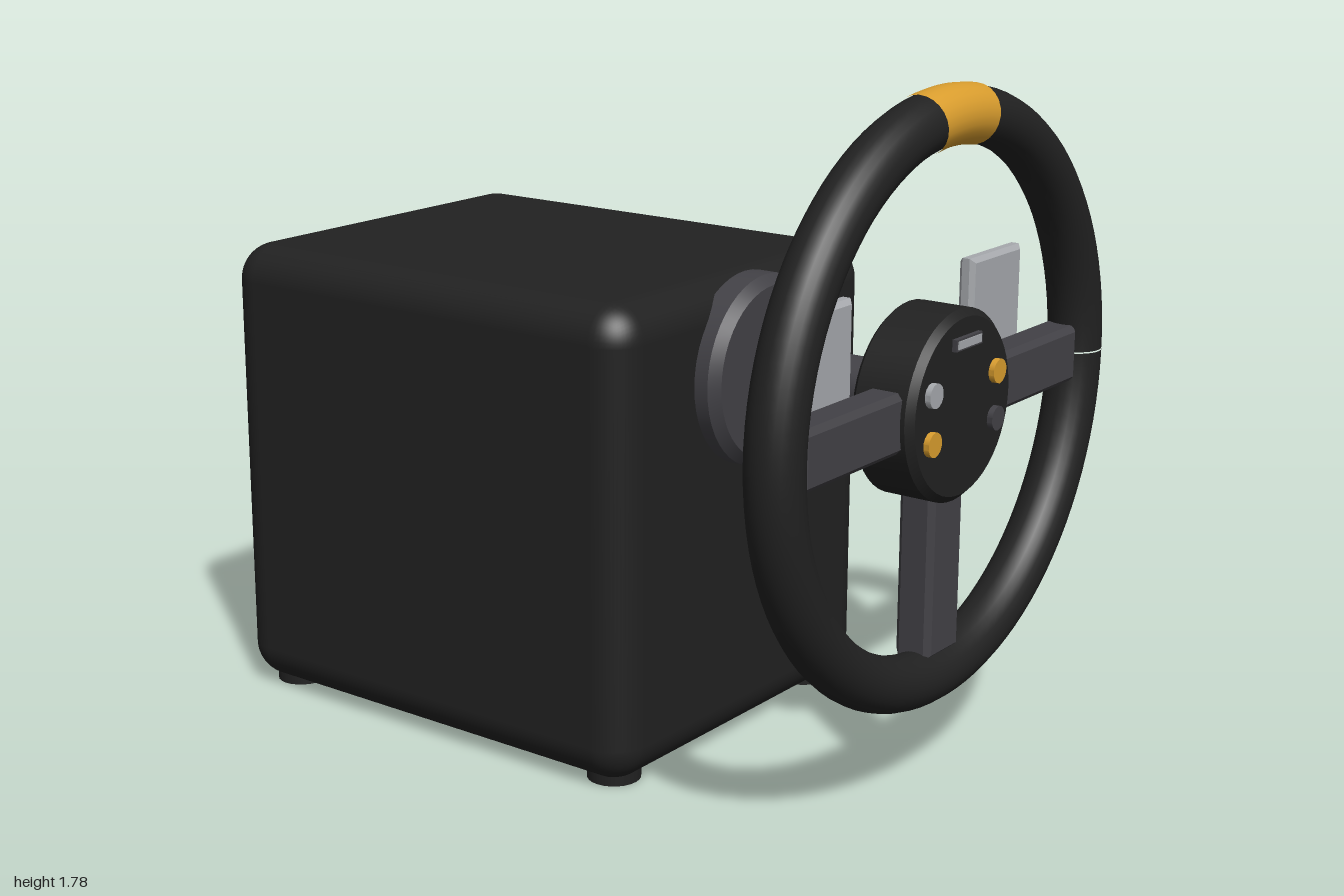
import * as THREE from 'three';
import { toCreasedNormals } from 'three/addons/utils/BufferGeometryUtils.js';
import { RoundedBoxGeometry } from 'three/addons/geometries/RoundedBoxGeometry.js';

function material(name, color) {
  const m = new THREE.MeshStandardMaterial({ color });
  m.name = name;
  return m;
}

export function createModel() {
  const model = new THREE.Group();
  model.name = 'steeringWheelController';

  const black = material('black', 0x212121);
  const charcoal = material('charcoal', 0x424146);
  const silver = material('silver', 0xa6a9ad);
  const amber = material('amber', 0xd99d2e);

  const axisY = 1.01;
  const rimZ = 0.916;

  function add(name, geometry, mat, x, y, z, parent = model) {
    const mesh = new THREE.Mesh(geometry, mat);
    mesh.name = name;
    mesh.position.set(x, y, z);
    parent.add(mesh);
    return mesh;
  }

  // Disc along z, chamfered at the back and front edges
  function disc(radius, z0, z1, back, front, sides = 48) {
    const points = [[0, z0], [radius - back, z0]];
    if (back) points.push([radius, z0 + back]);
    if (front) points.push([radius, z1 - front]);
    points.push([radius - front, z1], [0, z1]);
    const g = new THREE.LatheGeometry(points.map(([r, z]) => new THREE.Vector2(r, z)), sides);
    g.rotateX(Math.PI / 2);
    return toCreasedNormals(g, 0.5);
  }

  // Bar centred on its origin with chamfered edges
  function bevelBar(w, h, d, b) {
    const s = new THREE.Shape();
    const x = w / 2 - b, y = h / 2 - b;
    s.moveTo(-x, -y).lineTo(x, -y).lineTo(x, y).lineTo(-x, y).closePath();
    const g = new THREE.ExtrudeGeometry(s, {
      depth: d - 2 * b, bevelEnabled: true, bevelThickness: b, bevelSize: b, bevelSegments: 1,
    });
    return g.translate(0, 0, -d / 2 + b);
  }

  // Motor housing
  add('housing', new RoundedBoxGeometry(1.1, 1.24, 1.35, 6, 0.1), black, 0, 0.635, -0.31);

  // Feet
  for (const x of [-0.43, 0.43]) {
    for (const z of [-0.87, 0.25]) {
      add('foot', new THREE.CylinderGeometry(0.07, 0.07, 0.06, 24), black, x, 0.03, z);
    }
  }

  // Rear vent ribs
  for (let i = 0; i < 7; i++) {
    add('ventRib', new RoundedBoxGeometry(0.8, 0.036, 0.03, 3, 0.012), black, 0, 0.33 + i * 0.11, -0.985);
  }

  // Collar and steering shaft
  add('collar', disc(0.25, 0.34, 0.43, 0, 0.025), charcoal, 0, axisY, 0);
  add('shaft', disc(0.078, 0.36, 0.86, 0, 0, 32), charcoal, 0, axisY, 0);

  // Wheel: rim, top marker, spokes and hub
  const wheel = new THREE.Group();
  wheel.name = 'wheel';
  wheel.position.set(0, axisY, 0);
  model.add(wheel);

  const gap = 0.006;
  const rim = add('rim', new THREE.TorusGeometry(0.7, 0.071, 24, 96, Math.PI * 2 - gap), black, 0, 0, rimZ, wheel);
  rim.rotation.z = gap / 2;

  const markerArc = 0.345;
  const marker = add('topMarker', new THREE.TorusGeometry(0.7, 0.0745, 24, 12, markerArc), amber, 0, 0, rimZ, wheel);
  marker.rotation.z = Math.PI / 2 - markerArc / 2;

  for (const side of [-1, 1]) {
    add('sideSpoke', bevelBar(0.5, 0.15, 0.1, 0.015), charcoal, side * 0.39, 0, 0.905, wheel);
    add('shiftPaddle', bevelBar(0.25, 0.295, 0.045, 0.012), silver, side * 0.4, 0.15, 0.822, wheel);
  }
  add('lowerSpoke', bevelBar(0.15, 0.5, 0.1, 0.015), charcoal, 0, -0.395, 0.905, wheel);
  add('hub', disc(0.24, 0.815, 0.985, 0.012, 0.018), black, 0, 0, 0, wheel);

  // Hub buttons and indicator
  const buttons = [[-0.15, 0.06, silver], [0.15, 0.06, amber], [-0.15, -0.06, amber], [0.15, -0.06, charcoal]];
  for (const [x, y, mat] of buttons) {
    add('button', disc(0.031, 0.975, 1, 0, 0, 14), mat, x, y, 0, wheel);
  }
  add('indicatorFrame', new THREE.BoxGeometry(0.122, 0.03, 0.02), charcoal, 0, 0.163, 0.987, wheel);
  add('indicator', new THREE.BoxGeometry(0.108, 0.02, 0.008), silver, 0, 0.163, 0.996, wheel);

  return model;
}
